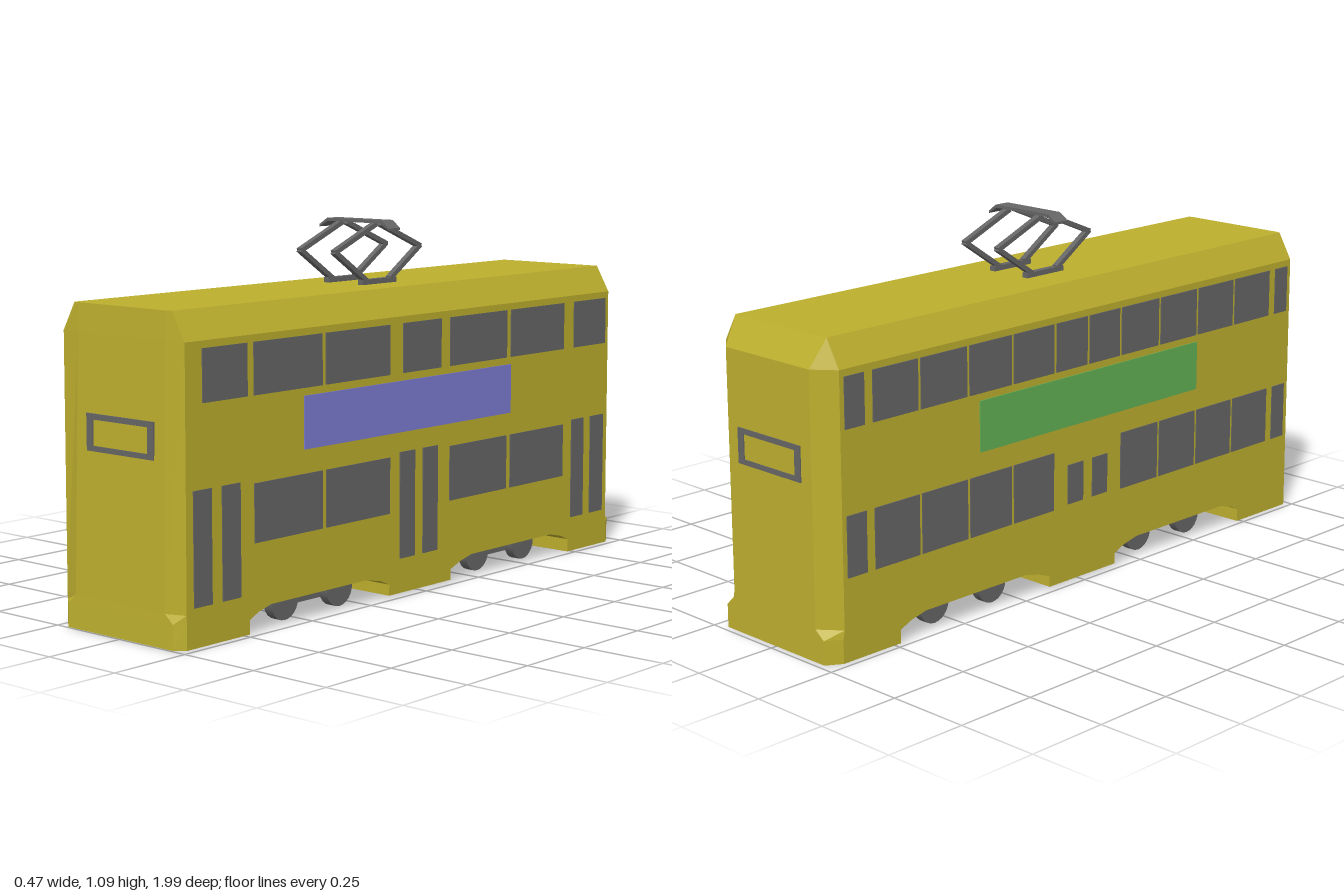
import * as THREE from 'three';

const yellow = new THREE.MeshStandardMaterial({ color: 0xbdaf2e, side: THREE.DoubleSide });
yellow.name = 'body yellow';
const grey = new THREE.MeshStandardMaterial({ color: 0x666666 });
grey.name = 'dark grey';
const blue = new THREE.MeshStandardMaterial({ color: 0x7e7ed6 });
blue.name = 'banner blue';
const green = new THREE.MeshStandardMaterial({ color: 0x62b254 });
green.name = 'banner green';

const W = 0.234; // half width of the body

function add(parent, geometry, material, name) {
  const mesh = new THREE.Mesh(geometry, material);
  mesh.name = name;
  parent.add(mesh);
  return mesh;
}

function box(parent, name, material, x0, x1, y0, y1, z0, z1) {
  const g = new THREE.BoxGeometry(Math.abs(x1 - x0), Math.abs(y1 - y0), Math.abs(z1 - z0));
  g.translate((x0 + x1) / 2, (y0 + y1) / 2, (z0 + z1) / 2);
  return add(parent, g, material, name);
}

// Flat-faced surface joining consecutive rows of points
function loft(rows, closed, cap) {
  const p = [];
  const tri = (a, b, c) => p.push(...a, ...b, ...c);
  for (let i = 0; i + 1 < rows.length; i++) {
    const a = rows[i], b = rows[i + 1], n = a.length;
    for (let j = 0; j < (closed ? n : n - 1); j++) {
      const k = (j + 1) % n;
      tri(a[j], a[k], b[k]);
      tri(a[j], b[k], b[j]);
    }
  }
  const top = rows[rows.length - 1];
  if (cap) for (let j = 1; j + 1 < top.length; j++) tri(top[0], top[j], top[j + 1]);
  const g = new THREE.BufferGeometry();
  g.setAttribute('position', new THREE.Float32BufferAttribute(p, 3));
  g.computeVertexNormals();
  return g;
}

// Chamfered end outlines, running towards +x at the front and -x at the back
const frontRow = (y, w, x, zc, z) => [[-w, y, zc], [-x, y, z], [x, y, z], [w, y, zc]];
const backRow = (y, w, x, zc, z) => [[w, y, zc], [x, y, z], [-x, y, z], [-w, y, zc]];

function buildBody(root) {
  const body = new THREE.Group();
  body.name = 'body';
  root.add(body);

  const sill = 0.075;
  const frontSill = frontRow(sill, W, 0.205, 0.975, 0.998);
  const backSill = backRow(sill, W, 0.205, -0.94, -0.985);
  add(body, loft([
    [...frontSill, ...backSill],
    [...frontRow(0.1, W, 0.175, 0.975, 0.997), ...backRow(0.1, W, 0.172, -0.935, -0.985)],
    [...frontRow(0.825, W, 0.17, 0.972, 0.978), ...backRow(0.825, W, 0.172, -0.935, -0.985)],
    [...frontRow(0.905, 0.188, 0.17, 0.972, 0.975), ...backRow(0.905, 0.188, 0.188, -0.935, -0.935)],
  ], true, true), yellow, 'bodyShell');

  // Skirts round the two ends
  add(body, loft([frontRow(0.005, W, 0.205, 0.975, 1.0), frontSill]), yellow, 'frontSkirt');
  add(body, loft([backRow(0.005, W, 0.205, -0.94, -0.985), backSill]), yellow, 'backSkirt');

  // Floor outline as [z, y], dropping between the wheel bays; both ends stay hollow
  const floor = [
    [0.735, 0.005], [0.735, 0.045], [0.7, 0.062], [0.65, sill],
    [0.25, sill], [0.19, 0.062], [0.15, 0.045], [0.15, 0.012],
    [-0.135, 0.012], [-0.135, 0.045], [-0.18, 0.062], [-0.235, sill],
    [-0.635, sill], [-0.69, 0.062], [-0.73, 0.045], [-0.73, 0.005],
  ];
  add(body, loft(floor.map(([z, y]) => [[W, y, z], [-W, y, z]])), yellow, 'floor');

  // Side skirts fill between the sill and the floor outline
  const outline = [[0.975, sill], [0.975, 0.005], ...floor, [-0.94, 0.005], [-0.94, sill]];
  for (const s of [1, -1]) {
    const strip = outline.map(([z, y]) => [[s * W, sill, z], [s * W, y, z]]);
    if (s < 0) strip.reverse();
    add(body, loft(strip), yellow, 'sideSkirt');
  }
}

function buildPanels(root) {
  const panels = new THREE.Group();
  panels.name = 'windowsAndBanners';
  root.add(panels);
  const plate = (s, name, m, y0, y1, spans) => {
    for (const [z0, z1] of spans) box(panels, name, m, s * (W - 0.004), s * (W + 0.003), y0, y1, z0, z1);
  };

  // Door side
  const wide = [[0.715, 0.44], [0.425, 0.15], [-0.125, -0.4], [-0.42, -0.693]];
  plate(1, 'upperWindow', grey, 0.66, 0.805, [[0.91, 0.74], [0.09, -0.083], [-0.747, -0.917], ...wide]);
  plate(1, 'lowerWindow', grey, 0.255, 0.42, wide);
  plate(1, 'doorWindow', grey, 0.115, 0.43,
    [[0.948, 0.88], [0.84, 0.77], [0.105, 0.037], [0, -0.068], [-0.74, -0.805], [-0.842, -0.912]]);
  plate(1, 'banner', blue, 0.488, 0.638, [[0.515, -0.42]]);

  // Closed side
  const row = [[-0.92, -0.85], [-0.82, -0.655], [-0.645, -0.47], [-0.46, -0.295], [-0.285, -0.12],
    [0.17, 0.335], [0.345, 0.51], [0.52, 0.685], [0.695, 0.865], [0.895, 0.955]];
  plate(-1, 'upperWindow', grey, 0.66, 0.805, [...row, [-0.11, 0.02], [0.03, 0.16]]);
  plate(-1, 'lowerWindow', grey, 0.245, 0.42, row);
  plate(-1, 'smallWindow', grey, 0.25, 0.37, [[-0.06, 0.005], [0.045, 0.11]]);
  plate(-1, 'banner', green, 0.488, 0.638, [[-0.42, 0.515]]);

  // Destination frames on both ends
  const frame = new THREE.Shape();
  frame.moveTo(-0.13, 0.505).lineTo(0.13, 0.505).lineTo(0.13, 0.608).lineTo(-0.13, 0.608);
  const hole = new THREE.Path();
  hole.moveTo(-0.106, 0.52).lineTo(-0.106, 0.592).lineTo(0.106, 0.592).lineTo(0.106, 0.52);
  frame.holes.push(hole);
  for (const z of [0.981, -0.988]) {
    const g = new THREE.ExtrudeGeometry(frame, { depth: 0.008, bevelEnabled: false });
    add(panels, g, grey, 'destinationFrame').position.z = z;
  }
}

function buildBogie(root, z) {
  const bogie = new THREE.Group();
  bogie.name = 'bogie';
  bogie.position.z = z;
  root.add(bogie);
  box(bogie, 'bogieFrame', grey, -0.15, 0.15, 0.032, 0.072, -0.115, 0.115);
  for (const dz of [-0.115, 0.115]) {
    const axle = new THREE.CylinderGeometry(0.018, 0.018, 0.36, 12).rotateZ(Math.PI / 2);
    add(bogie, axle, grey, 'axle').position.set(0, 0.058, dz);
    for (const s of [-1, 1]) {
      const wheel = new THREE.CylinderGeometry(0.055, 0.055, 0.03, 24).rotateZ(Math.PI / 2);
      add(bogie, wheel, grey, 'wheel').position.set(s * 0.17, 0.058, dz);
    }
  }
}

function buildPantograph(root) {
  const panto = new THREE.Group();
  panto.name = 'pantograph';
  panto.position.z = 0.012;
  root.add(panto);
  // Straight bar between two [z, y] points
  const bar = (x, [z0, y0], [z1, y1]) => {
    const g = new THREE.BoxGeometry(0.018, 0.014, Math.hypot(z1 - z0, y1 - y0) + 0.006);
    const m = add(panto, g, grey, 'arm');
    m.rotation.x = -Math.atan2(y1 - y0, z1 - z0);
    m.position.set(x, (y0 + y1) / 2, (z0 + z1) / 2);
  };
  for (const x of [-0.065, 0.068]) {
    box(panto, 'base', grey, x - 0.01, x + 0.01, 0.903, 0.92, -0.077, 0.075);
    for (const s of [-1, 1]) {
      bar(x, [s * 0.055, 0.918], [s * 0.19, 1.007]);
      bar(x, [s * 0.19, 1.007], [s * 0.012, 1.08]);
    }
  }
  // Contact strip with drooping tips
  const strip = new THREE.Shape();
  strip.moveTo(-0.14, 1.065).lineTo(-0.107, 1.083).lineTo(0.102, 1.083).lineTo(0.133, 1.063)
    .lineTo(0.133, 1.07).lineTo(0.104, 1.092).lineTo(-0.109, 1.092).lineTo(-0.14, 1.072);
  const g = new THREE.ExtrudeGeometry(strip, { depth: 0.05, bevelEnabled: false });
  add(panto, g, grey, 'contactStrip').position.z = -0.027;
}

export function createModel() {
  const root = new THREE.Group();
  root.name = 'doubleDeckTram';
  buildBody(root);
  buildPanels(root);
  buildBogie(root, 0.428);
  buildBogie(root, -0.44);
  buildPantograph(root);
  return root;
}
